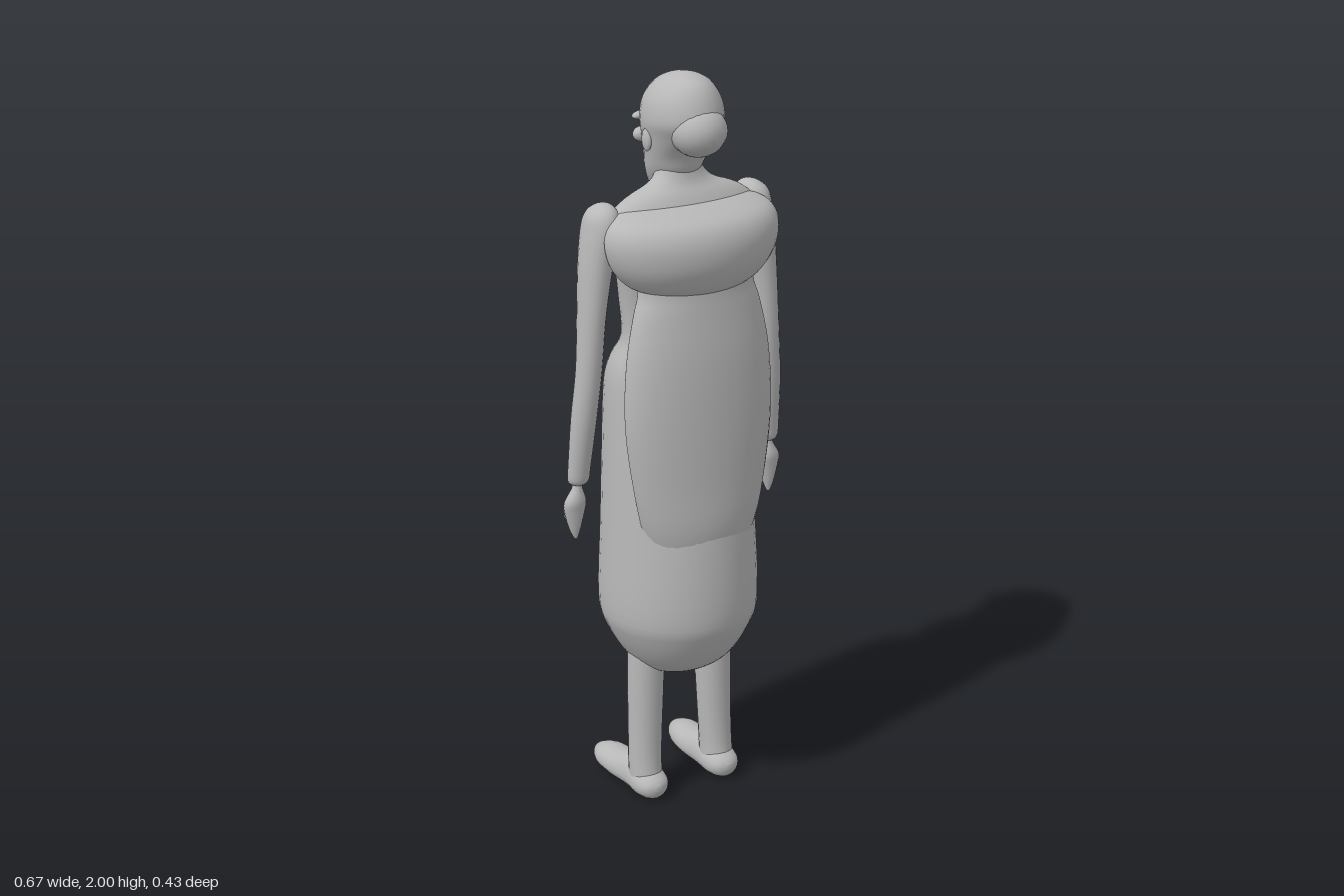
import * as THREE from 'three';

const clay = new THREE.MeshStandardMaterial({ color: 0xb8b8b8 });
clay.name = 'plain grey';

// Smooth loft through rows of [y, cx, cz, rx, frontDepth, backDepth], y rising; front is -z
function loft(rows, side = 1, seg = 28, steps = 4) {
  const rings = [];
  const cr = (a, b, c, d, t) => {
    const m = (c - a) / 2, n = (d - b) / 2;
    return (2 * t ** 3 - 3 * t * t + 1) * b + (t ** 3 - 2 * t * t + t) * m
      + (3 * t * t - 2 * t ** 3) * c + (t ** 3 - t * t) * n;
  };
  const last = rows.length - 1;
  for (let i = 0; i < last; i++) {
    const p = [rows[Math.max(i - 1, 0)], rows[i], rows[i + 1], rows[Math.min(i + 2, last)]];
    for (let s = 0; s < steps; s++)
      rings.push(rows[i].map((_, k) => cr(p[0][k], p[1][k], p[2][k], p[3][k], s / steps)));
  }
  rings.push(rows[last]);
  const pos = [], idx = [];
  rings.forEach(([y, cx, cz, rx, rf, rb]) => {
    for (let j = 0; j < seg; j++) {
      const a = j / seg * Math.PI * 2, s = Math.sin(a);
      pos.push(side * cx + Math.max(rx, 0.001) * Math.cos(a), y,
        cz - Math.max(s > 0 ? rf : rb, 0.001) * s);
    }
  });
  for (let i = 0; i < rings.length - 1; i++)
    for (let j = 0; j < seg; j++) {
      const a = i * seg + j, b = i * seg + (j + 1) % seg;
      idx.push(a, b, b + seg, a, b + seg, a + seg);
    }
  // end caps
  const top = (rings.length - 1) * seg;
  for (let j = 1; j < seg - 1; j++) idx.push(0, j + 1, j, top, top + j, top + j + 1);
  const g = new THREE.BufferGeometry();
  g.setAttribute('position', new THREE.Float32BufferAttribute(pos, 3));
  g.setIndex(idx);
  g.computeVertexNormals();
  return g;
}

export function createModel() {
  const model = new THREE.Group();
  model.name = 'robedFigure';
  const add = (name, geo, parent = model) => {
    const m = new THREE.Mesh(geo, clay);
    m.name = name;
    parent.add(m);
    return m;
  };
  const blob = (name, p, r, rot = [0, 0, 0], parent = model) => {
    const m = add(name, new THREE.SphereGeometry(1, 20, 14), parent);
    m.position.set(...p);
    m.scale.set(...r);
    m.rotation.set(...rot);
    return m;
  };

  // Long robe with a rounded hem, pinched waist, chest, shoulders and neck
  add('robe', loft([
    [0.36, 0, 0, 0.04, 0.04, 0.04],
    [0.375, 0, 0, 0.10, 0.10, 0.09],
    [0.42, 0, 0, 0.15, 0.15, 0.15],
    [0.5, 0, 0, 0.197, 0.192, 0.197],
    [0.58, 0, 0, 0.215, 0.212, 0.215],
    [0.8, 0, 0, 0.208, 0.205, 0.2],
    [1.0, 0, 0, 0.203, 0.197, 0.165],
    [1.18, 0, 0, 0.197, 0.187, 0.11],
    [1.25, 0, 0, 0.185, 0.157, 0.09],
    [1.32, 0, 0, 0.16, 0.107, 0.08],
    [1.42, 0, 0, 0.165, 0.117, 0.08],
    [1.52, 0, 0.01, 0.18, 0.137, 0.1],
    [1.59, 0, 0.01, 0.2, 0.123, 0.11],
    [1.65, 0, 0.02, 0.21, 0.085, 0.08],
    [1.69, 0, 0.02, 0.165, 0.06, 0.06],
    [1.72, 0, 0.015, 0.09, 0.052, 0.045],
    [1.76, 0, 0.005, 0.06, 0.05, 0.045],
    [1.82, 0, 0, 0.055, 0.05, 0.05],
  ], 1, 40));

  // Cape hanging behind, melting into the skirt
  add('cape', loft([
    [0.66, 0, 0.1, 0.10, 0.03, 0.06],
    [0.8, 0, 0.1, 0.165, 0.03, 0.1],
    [0.95, 0, 0.1, 0.2, 0.03, 0.1],
    [1.12, 0, 0.095, 0.22, 0.03, 0.1],
    [1.28, 0, 0.09, 0.212, 0.03, 0.095],
    [1.4, 0, 0.085, 0.188, 0.03, 0.085],
    [1.46, 0, 0.08, 0.17, 0.03, 0.083],
    [1.54, 0, 0.08, 0.17, 0.03, 0.08],
  ], 1, 40));

  // Thick rolled collar across the upper back
  add('backRoll', loft([
    [1.455, 0, 0.09, 0.13, 0.03, 0.07],
    [1.48, 0, 0.075, 0.19, 0.045, 0.105],
    [1.53, 0, 0.065, 0.235, 0.05, 0.137],
    [1.59, 0, 0.06, 0.253, 0.05, 0.143],
    [1.635, 0, 0.055, 0.242, 0.05, 0.125],
    [1.66, 0, 0.045, 0.21, 0.04, 0.085],
    [1.675, 0, 0.035, 0.15, 0.03, 0.045],
  ], 1, 40));

  // Head: chin, jaw, brow and skull
  const head = new THREE.Group();
  head.name = 'head';
  model.add(head);
  add('skull', loft([
    [1.672, 0, -0.065, 0.015, 0.02, 0.02],
    [1.69, 0, -0.055, 0.04, 0.045, 0.045],
    [1.74, 0, -0.025, 0.067, 0.08, 0.075],
    [1.79, 0, 0, 0.08, 0.105, 0.07],
    [1.84, 0, 0.005, 0.092, 0.105, 0.11],
    [1.88, 0, 0.02, 0.1, 0.125, 0.12],
    [1.93, 0, 0.025, 0.092, 0.12, 0.107],
    [1.97, 0, 0.03, 0.067, 0.09, 0.08],
    [1.99, 0, 0.033, 0.038, 0.052, 0.045],
    [2.0, 0, 0.035, 0.004, 0.004, 0.004],
  ]), head);
  blob('hairBun', [0, 1.86, 0.095], [0.074, 0.066, 0.07], [0, 0, 0], head);
  blob('nose', [0, 1.836, -0.113], [0.016, 0.034, 0.03], [0.35, 0, 0], head);
  blob('lips', [0, 1.768, -0.098], [0.03, 0.013, 0.015], [0, 0, 0], head);
  blob('chin', [0, 1.712, -0.085], [0.034, 0.026, 0.024], [0, 0, 0], head);

  for (const s of [1, -1]) {
    const side = s > 0 ? 'left' : 'right';
    blob(side + 'Brow', [s * 0.045, 1.868, -0.098], [0.036, 0.011, 0.017], [0, s * -0.35, 0], head);
    blob(side + 'Cheek', [s * 0.058, 1.825, -0.075], [0.027, 0.02, 0.02], [0, 0, 0], head);
    blob(side + 'Ear', [s * 0.092, 1.83, 0.0], [0.01, 0.03, 0.018], [0, 0, 0], head);

    // Sleeved arm from cuff to shoulder
    add(side + 'Arm', loft([
      [0.945, 0.296, -0.016, 0.018, 0.018, 0.018],
      [0.957, 0.296, -0.014, 0.029, 0.025, 0.025],
      [1.0, 0.294, -0.01, 0.031, 0.027, 0.027],
      [1.13, 0.285, 0.0, 0.034, 0.034, 0.034],
      [1.26, 0.273, 0.008, 0.034, 0.036, 0.036],
      [1.4, 0.262, 0.006, 0.036, 0.043, 0.043],
      [1.53, 0.246, 0.002, 0.043, 0.052, 0.052],
      [1.62, 0.23, 0, 0.046, 0.06, 0.06],
      [1.66, 0.225, 0, 0.04, 0.05, 0.05],
      [1.68, 0.22, 0, 0.022, 0.028, 0.028],
      [1.687, 0.218, 0, 0.004, 0.004, 0.004],
    ], s, 20));

    // Hand with tapering fingers and a thumb
    add(side + 'Hand', loft([
      [0.792, 0.304, -0.018, 0.004, 0.005, 0.005],
      [0.82, 0.305, -0.02, 0.016, 0.016, 0.014],
      [0.87, 0.305, -0.02, 0.029, 0.024, 0.021],
      [0.9, 0.304, -0.016, 0.029, 0.024, 0.021],
      [0.935, 0.299, -0.015, 0.014, 0.014, 0.014],
      [0.965, 0.296, -0.015, 0.013, 0.013, 0.013],
    ], s, 14));
    blob(side + 'Thumb', [s * 0.303, 0.858, -0.05], [0.01, 0.036, 0.012], [0.65, 0, 0]);

    // Leg
    add(side + 'Leg', loft([
      [0.03, 0.115, 0.02, 0.045, 0.05, 0.05],
      [0.1, 0.115, 0.014, 0.045, 0.05, 0.045],
      [0.2, 0.112, 0.01, 0.047, 0.048, 0.045],
      [0.35, 0.108, 0.008, 0.05, 0.053, 0.047],
      [0.5, 0.105, 0.006, 0.05, 0.055, 0.05],
    ], s, 20));

    // Foot, lofted from heel to toe and laid flat (depths become sole and instep)
    const foot = loft([
      [-0.088, 0.115, 0.04, 0.008, 0.008, 0.008],
      [-0.075, 0.115, 0.04, 0.035, 0.032, 0.025],
      [-0.04, 0.115, 0.04, 0.05, 0.04, 0.045],
      [0.03, 0.115, 0.04, 0.047, 0.039, 0.058],
      [0.1, 0.118, 0.038, 0.052, 0.035, 0.044],
      [0.16, 0.122, 0.04, 0.047, 0.03, 0.036],
      [0.2, 0.124, 0.042, 0.027, 0.019, 0.02],
      [0.216, 0.125, 0.042, 0.005, 0.005, 0.005],
    ], s, 20);
    foot.rotateX(-Math.PI / 2);
    add(side + 'Foot', foot);
  }

  // Small round brooch on the left of the chest
  blob('brooch', [0.128, 1.575, -0.097], [0.022, 0.018, 0.018]);
  blob('broochPin', [0.108, 1.58, -0.09], [0.02, 0.011, 0.018]);
  return model;
}
